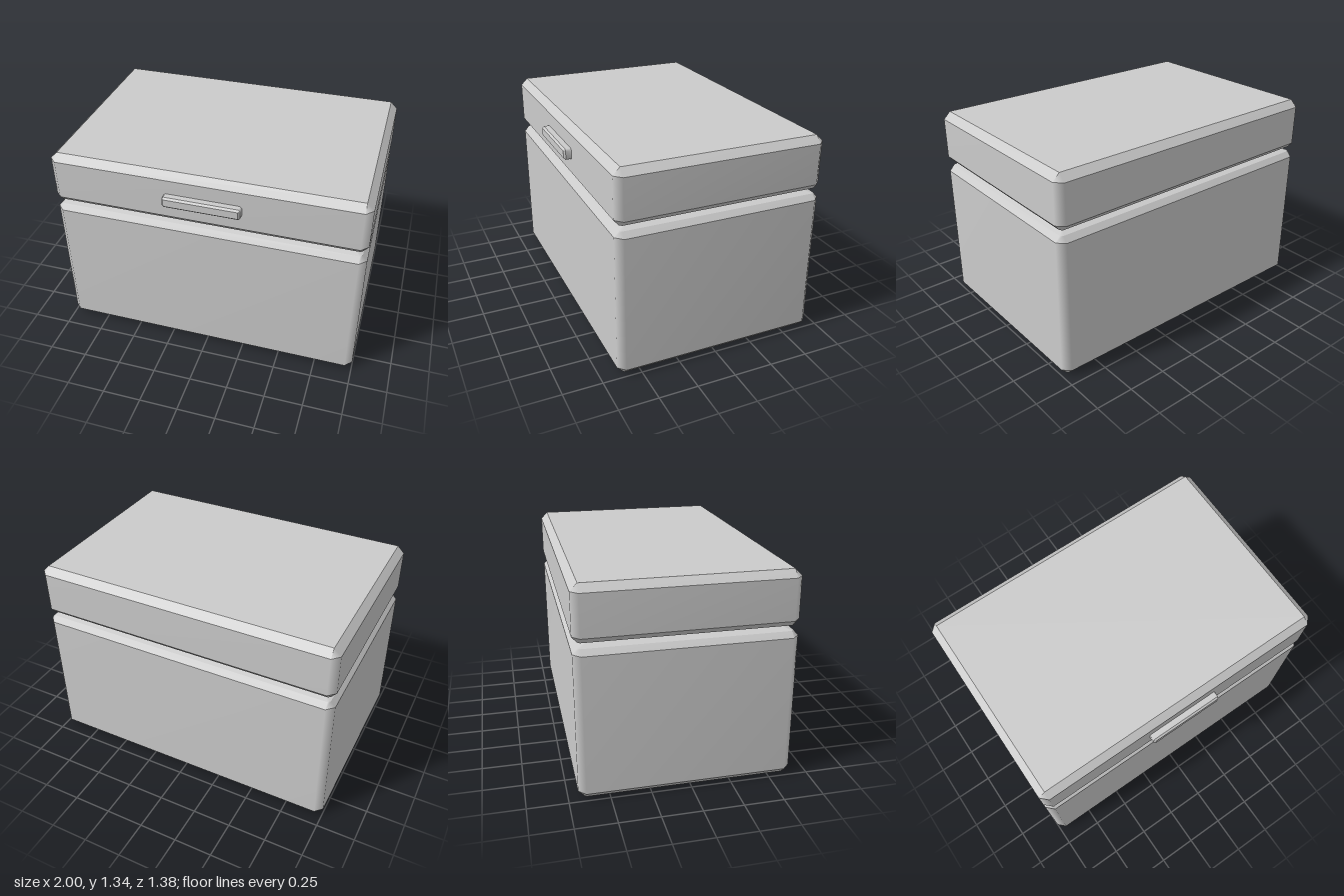
import * as THREE from 'three';

const material = new THREE.MeshStandardMaterial({ color: 0xcccccc });
const BEVEL = 0.045;

// Corner-cut rectangle, counter-clockwise seen from above
function ring(halfW, halfD, bevel, y, inset) {
  const w = halfW - inset, d = halfD - inset;
  const c = Math.max(bevel - inset, 0.0005);
  return [
    [w, d - c], [w, c - d], [w - c, -d], [c - w, -d],
    [-w, c - d], [-w, d - c], [c - w, d], [w - c, d],
  ].map(([x, z]) => [x, y, z]);
}

// Stack of rings: smooth around the corners, sharp between the levels
function bevelledBlock(halfW, halfD, bevel, levels) {
  const positions = [], index = [];
  const rings = levels.map(([y, inset]) => ring(halfW, halfD, bevel, y, inset));
  const add = (points) => {
    const start = positions.length / 3;
    points.forEach((p) => positions.push(...p));
    return start;
  };
  for (let k = 0; k < rings.length - 1; k++) {
    const a = add(rings[k]), b = add(rings[k + 1]);
    for (let i = 0; i < 8; i++) {
      const j = (i + 1) % 8;
      index.push(a + i, a + j, b + j, a + i, b + j, b + i);
    }
  }
  // End caps
  const bottom = add(rings[0]), top = add(rings[rings.length - 1]);
  for (let i = 1; i < 7; i++) {
    index.push(top, top + i, top + i + 1, bottom, bottom + i + 1, bottom + i);
  }
  const geometry = new THREE.BufferGeometry();
  geometry.setAttribute('position', new THREE.Float32BufferAttribute(positions, 3));
  geometry.setIndex(index);
  geometry.computeVertexNormals();
  return geometry;
}

export function createModel() {
  const group = new THREE.Group();
  group.name = 'chest';
  const part = (name, geometry, x, y, z) => {
    const mesh = new THREE.Mesh(geometry, material);
    mesh.name = name;
    mesh.position.set(x, y, z);
    group.add(mesh);
  };

  // Box body, tapering into the groove under the lid
  part('body', bevelledBlock(1, 0.667, BEVEL, [
    [0, BEVEL], [BEVEL, 0], [0.925, 0], [0.96, 0.03], [0.977, 0.09],
  ]), 0, 0, -0.023);

  // Lid, with a bevelled top and a tapered underside
  part('lid', bevelledBlock(1, 0.667, BEVEL, [
    [0.977, 0.09], [0.995, 0.03], [1.03, 0], [1.29, 0], [1.335, BEVEL],
  ]), 0, 0, -0.023);

  // Handle bar on the lid front
  const handle = bevelledBlock(0.245, 0.036, 0.012, [
    [0, 0.012], [0.012, 0], [0.05, 0], [0.062, 0.012],
  ]).rotateX(Math.PI / 2);
  part('handle', handle, 0, 1.16, 0.631);

  return group;
}
